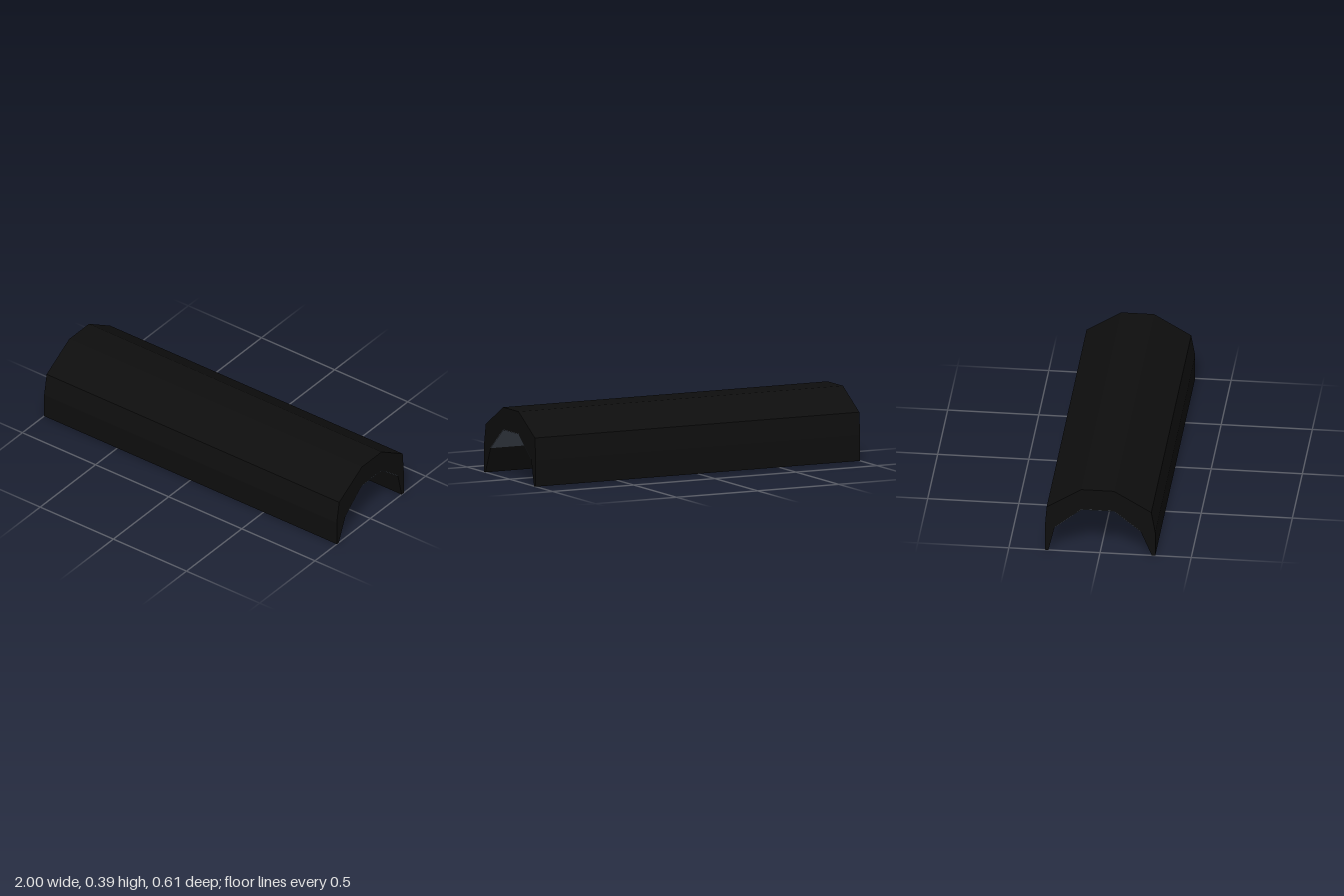
import * as THREE from 'three';

const LENGTH = 2;

// Extrudes a [z, y] cross-section along the x axis, centred on x = 0
function extrudeAlongX(name, profile, material) {
  const shape = new THREE.Shape(profile.map(([z, y]) => new THREE.Vector2(-z, y)));
  const geometry = new THREE.ExtrudeGeometry(shape, { depth: LENGTH, bevelEnabled: false });
  geometry.translate(0, 0, -LENGTH / 2);
  geometry.rotateY(Math.PI / 2);
  const mesh = new THREE.Mesh(geometry, material);
  mesh.name = name;
  return mesh;
}

export function createModel() {
  const black = new THREE.MeshStandardMaterial({ color: 0x0e0e0e });
  black.name = 'black';
  const slate = new THREE.MeshStandardMaterial({ color: 0x4a515c });
  slate.name = 'slate grey';

  // Outside of the arch, front foot to back foot
  const outer = [
    [0.303, 0], [0.303, 0.142], [0.281, 0.267], [0.077, 0.387],
    [-0.102, 0.387], [-0.293, 0.267], [-0.303, 0.142], [-0.303, 0],
  ];
  // Underside of the vault, back to front, and the shallow recess behind it
  const vault = [[-0.25, 0.141], [-0.102, 0.261], [0.077, 0.261], [0.225, 0.141]];
  const recess = vault.map(([z, y]) => [z, y + 0.004]);

  const group = new THREE.Group();
  group.name = 'archedCover';

  // Shell with tapered side walls
  group.add(extrudeAlongX('archShell',
    [...outer, [-0.283, 0], vault[0], ...recess, vault[3], [0.284, 0]], black));

  // Thin grey lining under the roof and its two slopes
  group.add(extrudeAlongX('innerLining', [...vault, ...recess.reverse()], slate));

  return group;
}
